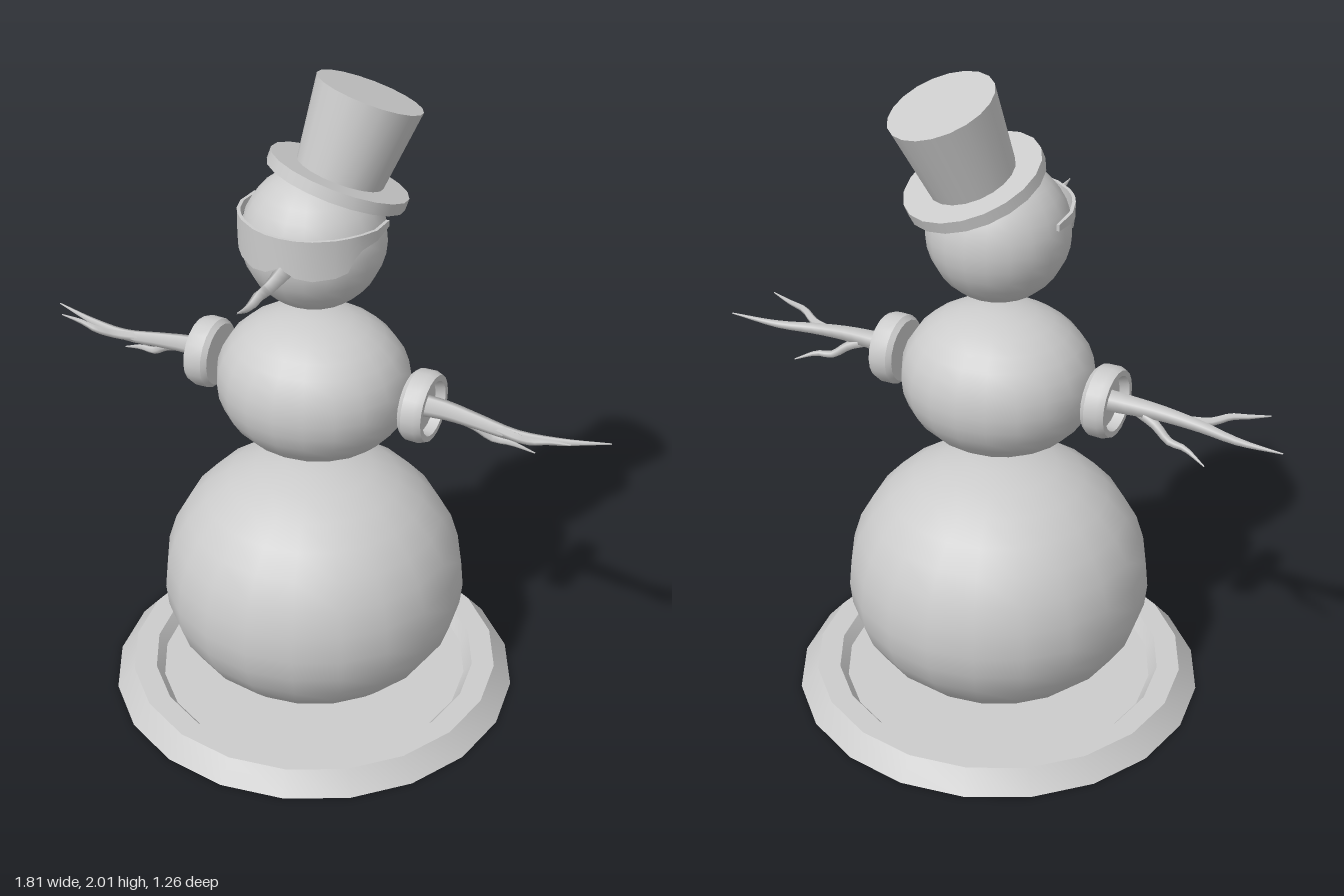
import * as THREE from 'three';
import { toCreasedNormals } from 'three/addons/utils/BufferGeometryUtils.js';

const grey = new THREE.MeshStandardMaterial({ color: 0xcccccc });
const greyDouble = new THREE.MeshStandardMaterial({ color: 0xcccccc, side: THREE.DoubleSide });

function add(parent, name, geometry, material = grey) {
  const mesh = new THREE.Mesh(geometry, material);
  mesh.name = name;
  parent.add(mesh);
  return mesh;
}

// Turned part with smooth sides and sharp profile corners
function lathe(profile, sides) {
  const pts = profile.map(([r, y]) => new THREE.Vector2(r, y));
  return toCreasedNormals(new THREE.LatheGeometry(pts, sides), 0.6);
}

// Rounded snowball with separate heights above and below its widest line
function snowball(rx, rz, up, down) {
  const g = new THREE.SphereGeometry(1, 20, 16);
  const p = g.attributes.position;
  const power = 2.08;
  for (let i = 0; i < p.count; i++) {
    const x = p.getX(i), y = p.getY(i), z = p.getZ(i);
    const k = 1 / Math.pow(Math.pow(Math.hypot(x, z), power) + Math.pow(Math.abs(y), power), 1 / power);
    p.setXYZ(i, x * k * rx, y * k * (y > 0 ? up : down), z * k * rz);
  }
  g.computeVertexNormals();
  return toCreasedNormals(g, 0.8);
}

// Tapered crooked stick; each point is [x, y, z, radius]
function stick(points, sides = 5) {
  const curve = new THREE.CatmullRomCurve3(points.map(([x, y, z]) => new THREE.Vector3(x, y, z)));
  const seg = (points.length - 1) * 3;
  const g = new THREE.TubeGeometry(curve, seg, 1, sides, false);
  const p = g.attributes.position;
  const v = new THREE.Vector3();
  for (let i = 0; i <= seg; i++) {
    const c = curve.getPointAt(i / seg);
    const t = curve.getUtoTmapping(i / seg) * (points.length - 1);
    const j = Math.min(Math.floor(t), points.length - 2);
    const r = THREE.MathUtils.lerp(points[j][3], points[j + 1][3], t - j);
    for (let k = 0; k <= sides; k++) {
      const n = i * (sides + 1) + k;
      v.fromBufferAttribute(p, n).sub(c).multiplyScalar(r).add(c);
      p.setXYZ(n, v.x, v.y, v.z);
    }
  }
  return g;
}

// Curved glasses shell swept around the head
function glassesGeometry() {
  // angle from the front, lower edge, upper edge
  const half = [
    [0, 1.55, 1.64], [12, 1.525, 1.64], [25, 1.518, 1.64], [42, 1.524, 1.64], [52, 1.535, 1.64],
    [57, 1.57, 1.64], [64, 1.592, 1.638], [80, 1.6, 1.632], [102, 1.607, 1.626],
  ];
  const stations = [...half.slice(1).reverse().map(([a, b, t]) => [-a, b, t]), ...half];
  const pos = [], idx = [];
  stations.forEach(([deg, low, top], i) => {
    const a = THREE.MathUtils.degToRad(deg);
    for (const [r, y] of [[0.217, top], [0.217, low], [0.207, low], [0.207, top]]) {
      pos.push(r * Math.sin(a), y, r * Math.cos(a));
    }
    if (i === 0) return;
    for (let k = 0; k < 4; k++) {
      const p = (i - 1) * 4 + k, q = (i - 1) * 4 + (k + 1) % 4;
      idx.push(p, q, q + 4, p, q + 4, p + 4);
    }
  });
  const e = (stations.length - 1) * 4;
  idx.push(0, 3, 2, 0, 2, 1, e, e + 1, e + 2, e, e + 2, e + 3);
  const g = new THREE.BufferGeometry();
  g.setAttribute('position', new THREE.Float32BufferAttribute(pos, 3));
  g.setIndex(idx);
  return toCreasedNormals(g, 0.6);
}

export function createModel() {
  const model = new THREE.Group();
  model.name = 'snowman';

  // Dished base with a raised rim
  add(model, 'base', lathe([
    [0, 0.02], [0.48, 0.02], [0.5, 0], [0.63, 0], [0.575, 0.065], [0.505, 0.065], [0.48, 0.03], [0, 0.03],
  ], 20));

  // Three snowballs
  add(model, 'lowerBody', snowball(0.465, 0.46, 0.425, 0.365)).position.y = 0.375;
  add(model, 'upperBody', snowball(0.295, 0.27, 0.23, 0.225)).position.y = 1.075;
  add(model, 'head', new THREE.SphereGeometry(0.21, 20, 16)).position.y = 1.55;

  // Tilted top hat
  const hat = new THREE.Group();
  hat.name = 'hat';
  hat.position.set(0.045, 1.712, -0.06);
  hat.quaternion.setFromUnitVectors(new THREE.Vector3(0, 1, 0), new THREE.Vector3(0.25, 1, -0.32).normalize());
  add(hat, 'hatBrim', new THREE.CylinderGeometry(0.207, 0.207, 0.036, 20));
  add(hat, 'hatCrown', new THREE.CylinderGeometry(0.158, 0.127, 0.26, 20)).position.y = 0.13;
  model.add(hat);

  // Face
  add(model, 'glasses', glassesGeometry(), greyDouble);
  add(model, 'nose', stick([
    [0, 1.525, 0.18, 0.032], [0.004, 1.524, 0.24, 0.025], [-0.006, 1.51, 0.29, 0.021],
    [0.003, 1.526, 0.34, 0.018], [0, 1.514, 0.39, 0.014], [-0.005, 1.526, 0.455, 0.002],
  ], 4));

  // Arms: round cuff and forked twig on each side
  const cuff = lathe([
    [0, 0], [0.095, 0], [0.107, 0.015], [0.108, 0.055], [0.1, 0.075], [0.083, 0.075], [0.078, 0.045], [0, 0.045],
  ], 20);
  const twigs = {
    mainTwig: [
      [0.34, 1.083, 0, 0.035], [0.42, 1.085, 0, 0.03], [0.52, 1.08, 0.008, 0.024],
      [0.64, 1.068, 0.01, 0.018], [0.76, 1.066, -0.015, 0.012], [0.907, 1.083, -0.045, 0.002],
    ],
    upperTwig: [
      [0.58, 1.074, 0.01, 0.016], [0.66, 1.078, 0.035, 0.013], [0.71, 1.095, 0.06, 0.011],
      [0.76, 1.108, 0.06, 0.008], [0.825, 1.122, 0.07, 0.002],
    ],
    lowerTwig: [
      [0.45, 1.075, 0, 0.018], [0.51, 1.05, -0.012, 0.015], [0.56, 1.015, -0.025, 0.012],
      [0.61, 1.01, -0.032, 0.009], [0.68, 0.982, -0.053, 0.002],
    ],
  };
  for (const [side, s] of [['left', 1], ['right', -1]]) {
    const arm = new THREE.Group();
    arm.name = side + 'Arm';
    const ring = add(arm, side + 'Cuff', cuff);
    ring.position.set(s * 0.31, 1.08, 0);
    ring.rotation.z = -s * Math.PI / 2;
    for (const [name, pts] of Object.entries(twigs)) {
      add(arm, name, stick(pts.map(([x, y, z, r]) => [s * x, y, z, r])));
    }
    model.add(arm);
  }
  return model;
}
